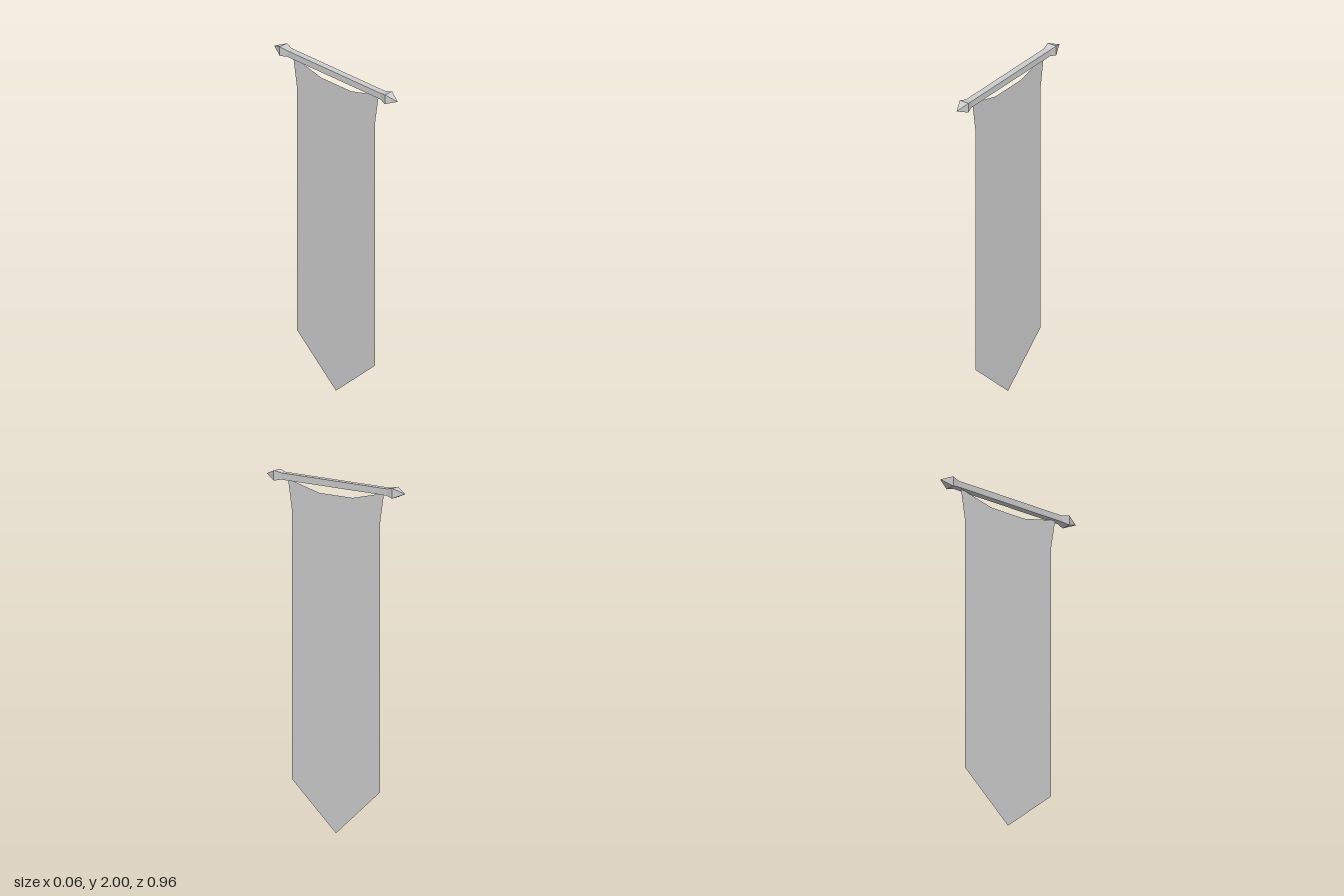
import * as THREE from 'three';

const ROD_Y = 1.971;

export function createModel() {
  const model = new THREE.Group();
  model.name = 'hangingBanner';
  const metal = new THREE.MeshStandardMaterial({ color: 0xcccccc, flatShading: true });
  const fabric = new THREE.MeshStandardMaterial({ color: 0xcccccc, side: THREE.DoubleSide });

  // Square-section solid along z from [half width, z] pairs
  function squareBar(name, profile) {
    const points = profile.map(([half, z]) => new THREE.Vector2(half * Math.SQRT2, z));
    const geometry = new THREE.LatheGeometry(points, 4, Math.PI / 4);
    geometry.rotateX(Math.PI / 2);
    const mesh = new THREE.Mesh(geometry, metal);
    mesh.name = name;
    mesh.position.y = ROD_Y;
    model.add(mesh);
    return mesh;
  }

  // Crossbar with a pointed finial at each end
  squareBar('crossbar', [[0.019, -0.366], [0.019, 0.366]]);
  const finial = [[0.019, 0.366], [0.029, 0.41], [0, 0.48]];
  squareBar('frontFinial', finial);
  squareBar('backFinial', finial).rotation.y = Math.PI;

  // Thin cloth: sagging top edge, flared upper corners, pointed hem
  const half = [[0.116, 1.905], [0.333, 1.958], [0.304, 1.775], [0.304, 0.267]];
  const outline = [
    ...half.map(([z, y]) => new THREE.Vector2(z, y)),
    new THREE.Vector2(0, 0),
    ...half.map(([z, y]) => new THREE.Vector2(-z, y)).reverse(),
  ];
  const clothGeometry = new THREE.ShapeGeometry(new THREE.Shape(outline));
  clothGeometry.rotateY(Math.PI / 2);
  const cloth = new THREE.Mesh(clothGeometry, fabric);
  cloth.name = 'cloth';
  model.add(cloth);

  return model;
}
